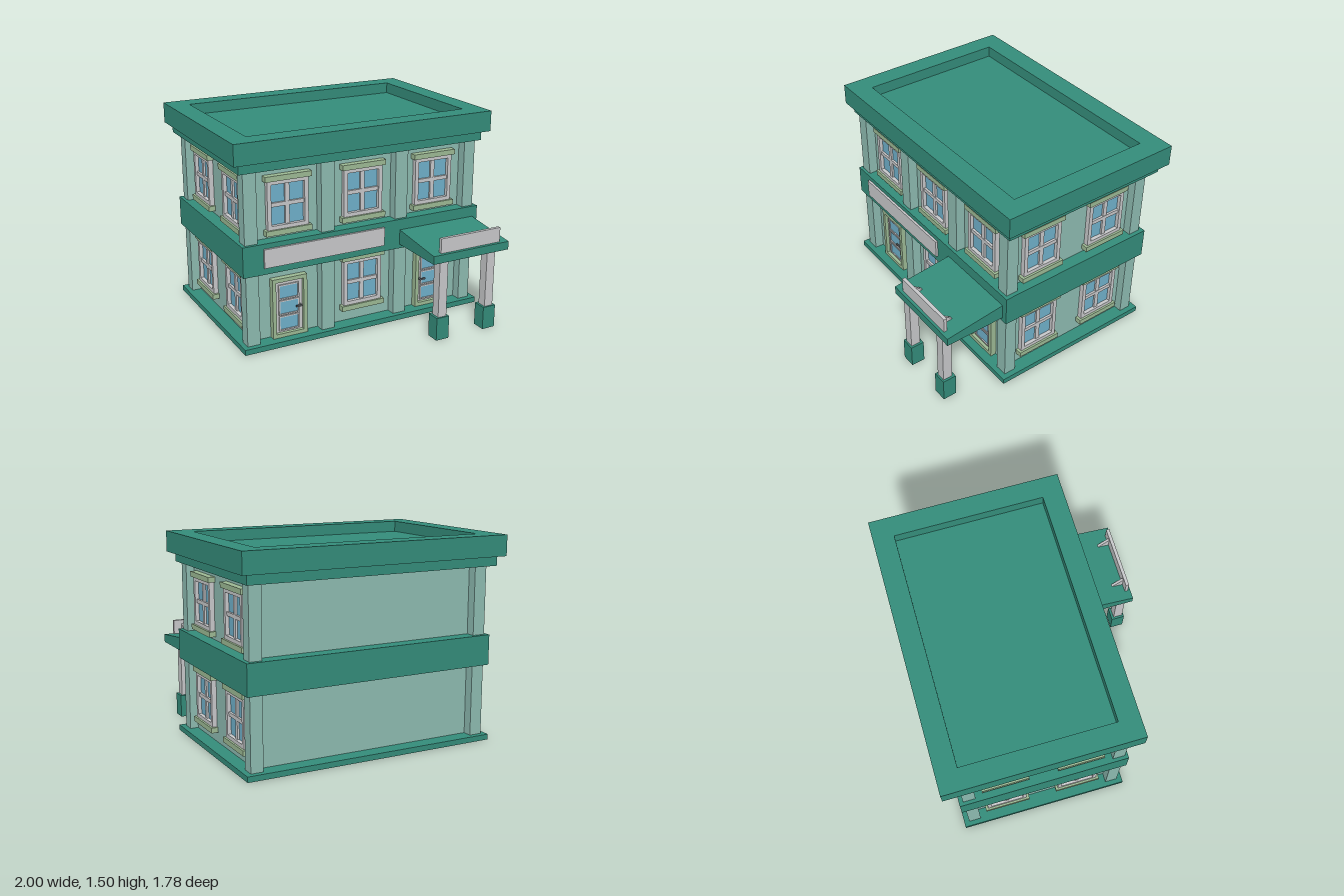
import * as THREE from 'three';

const mat = (name, color) => {
  const m = new THREE.MeshStandardMaterial({ color });
  m.name = name;
  return m;
};

export function createModel() {
  const green = mat('dark green', 0x348c7a);
  const wall = mat('pale green wall', 0x8dbab0);
  const white = mat('light grey', 0xc7c8ca);
  const trim = mat('sage trim', 0x9cb994);
  const glass = mat('blue glass', 0x6fb0ca);
  const metal = mat('dark metal', 0x5c6166);

  const model = new THREE.Group();
  model.name = 'building';

  const add = (parent, name, geometry, material) => {
    const mesh = new THREE.Mesh(geometry, material);
    mesh.name = name;
    parent.add(mesh);
    return mesh;
  };
  // box given by its limits on each axis
  const box = (parent, name, material, x0, x1, y0, y1, z0, z1) => {
    const mesh = add(parent, name, new THREE.BoxGeometry(x1 - x0, y1 - y0, z1 - z0), material);
    mesh.position.set((x0 + x1) / 2, (y0 + y1) / 2, (z0 + z1) / 2);
    return mesh;
  };
  const rect = (path, w, h) => path.moveTo(-w / 2, -h / 2).lineTo(w / 2, -h / 2)
    .lineTo(w / 2, h / 2).lineTo(-w / 2, h / 2).closePath();
  // rectangular ring, front towards +z
  const ring = (w, h, iw, ih, depth) => {
    const shape = rect(new THREE.Shape(), w, h);
    shape.holes.push(rect(new THREE.Path(), iw, ih));
    return new THREE.ExtrudeGeometry(shape, { depth, bevelEnabled: false });
  };
  // side profile of [z, y] points, extruded between x0 and x1
  const profile = (name, material, points, x0, x1) => {
    const shape = new THREE.Shape(points.map(([z, y]) => new THREE.Vector2(z, y)));
    const g = new THREE.ExtrudeGeometry(shape, { depth: x1 - x0, bevelEnabled: false });
    g.rotateY(-Math.PI / 2).translate(x1, 0, 0);
    return add(model, name, g, material);
  };

  // main body, plinth, middle band and cornice
  box(model, 'walls', wall, -0.85, 0.85, 0.02, 1.36, -0.7, 0.35);
  box(model, 'plinth', green, -0.955, 0.95, 0, 0.04, -0.81, 0.46);
  box(model, 'middleBand', green, -0.945, 0.94, 0.56, 0.78, -0.8, 0.443);
  box(model, 'cornice', green, -0.955, 0.95, 1.28, 1.35, -0.843, 0.438);

  // roof with a sunken centre
  const parapet = add(model, 'parapet', ring(2, 1.37, 1.7, 1.07, 0.15), green);
  parapet.rotation.x = -Math.PI / 2;
  parapet.position.set(0, 1.35, -0.205);
  box(model, 'roofFloor', green, -0.85, 0.85, 1.35, 1.42, -0.74, 0.33);

  // corner posts and front pilasters
  for (const [x0, x1] of [[-0.92, -0.825], [0.82, 0.91]]) {
    box(model, 'frontCornerPost', wall, x0, x1, 0.04, 1.28, 0.33, 0.42);
    box(model, 'backCornerPost', wall, x0, x1, 0.04, 1.28, -0.77, -0.68);
  }
  for (const x of [-0.298, 0.29]) {
    box(model, 'pilaster', wall, x - 0.05, x + 0.05, 0.04, 1.28, 0.34, 0.42);
  }

  // window, centred on the origin and facing +z
  function makeWindow() {
    const g = new THREE.Group();
    g.name = 'window';
    add(g, 'windowFrame', ring(0.306, 0.35, 0.248, 0.29, 0.035), white);
    box(g, 'windowGlass', glass, -0.13, 0.13, -0.15, 0.15, 0, 0.008);
    box(g, 'verticalBar', white, -0.016, 0.016, -0.147, 0.147, 0, 0.022);
    box(g, 'horizontalBar', white, -0.126, 0.126, -0.014, 0.014, 0, 0.024);
    box(g, 'windowHead', trim, -0.172, 0.172, 0.172, 0.21, 0, 0.05);
    box(g, 'windowSill', trim, -0.172, 0.172, -0.21, -0.172, 0, 0.05);
    return g;
  }
  const placeWindow = (x, y, z, turn) => {
    const w = makeWindow();
    w.position.set(x, y, z);
    w.rotation.y = turn;
    model.add(w);
  };
  for (const x of [-0.58, 0, 0.58]) placeWindow(x, 1.017, 0.35, 0);
  placeWindow(0, 0.343, 0.35, 0);
  for (const side of [-1, 1]) {
    for (const z of [0.103, -0.453]) {
      for (const y of [0.323, 1.015]) placeWindow(side * 0.85, y, z, side * Math.PI / 2);
    }
  }

  // doors, each with three panes and a handle
  for (const [x, handleSide] of [[-0.582, 1], [0.58, -1]]) {
    const door = new THREE.Group();
    door.name = 'door';
    door.position.set(x, 0, 0.35);
    model.add(door);
    const surround = add(door, 'doorSurround', ring(0.266, 0.445, 0.21, 0.389, 0.045), trim);
    surround.position.y = 0.2625;
    box(door, 'doorLeaf', white, -0.106, 0.106, 0.04, 0.458, 0, 0.018);
    for (const y of [0.373, 0.255, 0.137]) {
      box(door, 'doorPane', glass, -0.07, 0.07, y - 0.049, y + 0.049, 0.016, 0.021);
      const rim = add(door, 'paneRim', ring(0.156, 0.112, 0.138, 0.092, 0.012), white);
      rim.position.set(0, y, 0.016);
    }
    const h = handleSide;
    const lever = box(door, 'handleLever', metal, -0.023, 0.023, 0.247, 0.259, 0.036, 0.046);
    lever.position.x = h * 0.07;
    const stem = add(door, 'handleStem', new THREE.CylinderGeometry(0.009, 0.009, 0.026, 10), metal);
    stem.rotation.x = Math.PI / 2;
    stem.position.set(h * 0.086, 0.253, 0.03);
  }

  // blank sign board on the band
  box(model, 'signBoard', white, -0.795, 0.135, 0.61, 0.745, 0.44, 0.46);

  // sloping entrance canopy with its board and brackets
  profile('canopy', green, [[0.43, 0.59], [0.89, 0.59], [0.89, 0.65], [0.43, 0.702]], 0.27, 0.9);
  box(model, 'canopyBoard', white, 0.34, 0.835, 0.645, 0.76, 0.846, 0.871);
  for (const x of [0.41, 0.763]) {
    profile('boardBracket', white, [[0.755, 0.66], [0.85, 0.65], [0.85, 0.735]], x - 0.01, x + 0.01);
  }

  // canopy columns on square bases
  for (const x of [0.372, 0.77]) {
    box(model, 'canopyColumn', white, x - 0.034, x + 0.034, 0.17, 0.59, 0.795, 0.866);
    box(model, 'columnBase', green, x - 0.051, x + 0.051, 0, 0.17, 0.776, 0.878);
  }

  return model;
}
